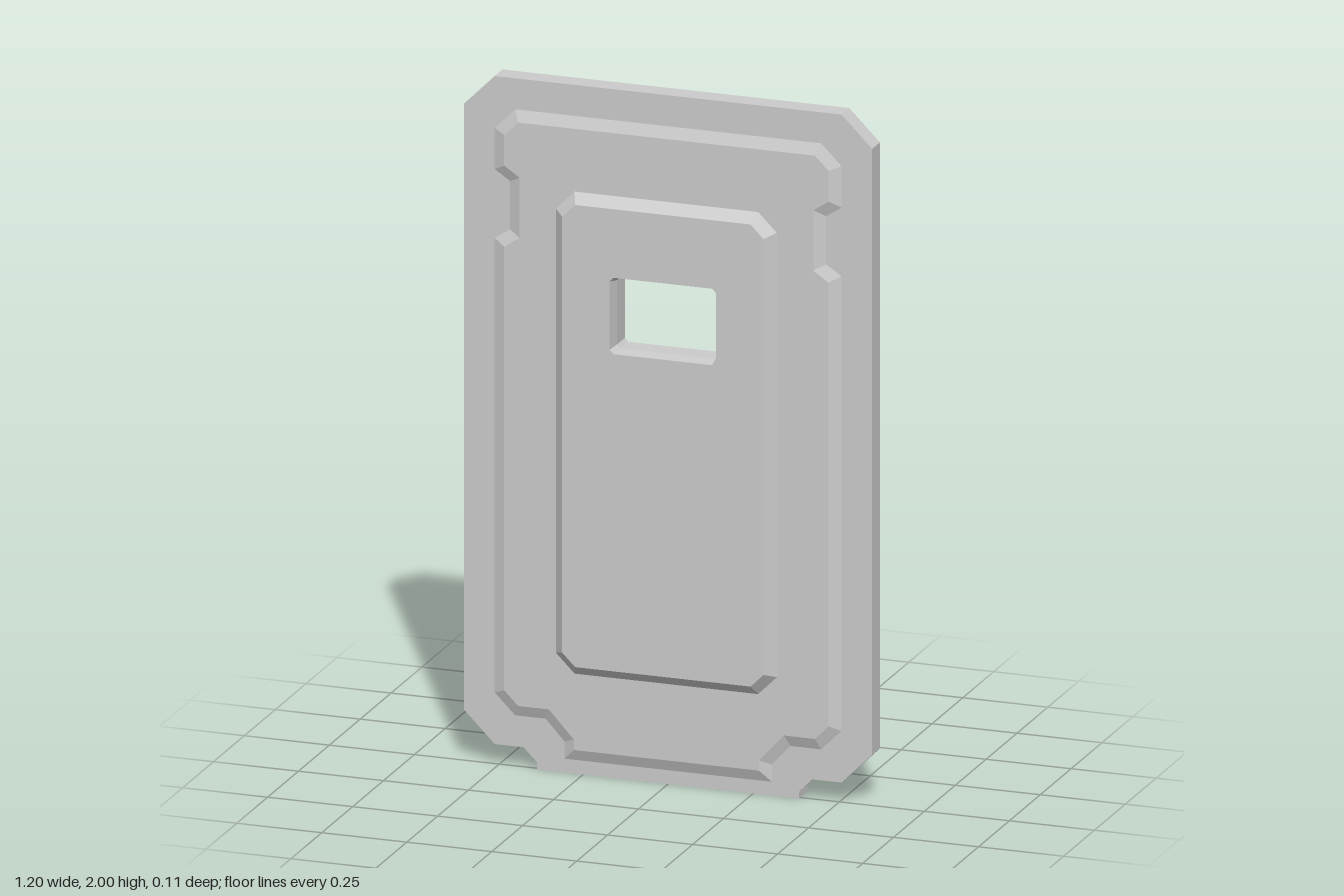
import * as THREE from 'three';

const material = new THREE.MeshStandardMaterial({
  color: 0xcccccc, flatShading: true, side: THREE.DoubleSide,
});

// Closed counter-clockwise outline from its right half, listed bottom to top.
function mirrored(half) {
  return [...half, ...half.slice().reverse().map(([x, y]) => [-x, y])];
}

// Rectangle with cut corners, centred on x = 0.
function cutRect(w, y0, y1, c) {
  return mirrored([[w - c, y0], [w, y0 + c], [w, y1 - c], [w - c, y1]]);
}

// Moves every edge of an outline inwards by d, with mitred corners.
function inset(loop, d) {
  const n = loop.length;
  const normal = (a, b) => {
    const l = Math.hypot(b[0] - a[0], b[1] - a[1]);
    return [-(b[1] - a[1]) / l, (b[0] - a[0]) / l];
  };
  return loop.map((p, i) => {
    const u = normal(loop[(i + n - 1) % n], p);
    const v = normal(p, loop[(i + 1) % n]);
    const k = d / (1 + u[0] * v[0] + u[1] * v[1]);
    return [p[0] + (u[0] + v[0]) * k, p[1] + (u[1] + v[1]) * k];
  });
}

function createModel() {
  const group = new THREE.Group();
  const toVectors = (loop) => loop.map(([x, y]) => new THREE.Vector2(x, y));

  function add(name, geometry) {
    const mesh = new THREE.Mesh(geometry, material);
    mesh.name = name;
    group.add(mesh);
  }

  // Flat sheet at depth z, with an optional opening.
  function sheet(name, loop, hole, z) {
    const shape = new THREE.Shape(toVectors(loop));
    if (hole) shape.holes.push(new THREE.Path(toVectors(hole)));
    add(name, new THREE.ShapeGeometry(shape).translate(0, 0, z));
  }

  // Band of faces joining two outlines with equal point counts.
  function band(name, a, za, b, zb) {
    const pos = [];
    a.forEach((p, i) => {
      const j = (i + 1) % a.length;
      const p0 = [...p, za], p1 = [...a[j], za];
      const q0 = [...b[i], zb], q1 = [...b[j], zb];
      pos.push(...p0, ...p1, ...q1, ...p0, ...q1, ...q0);
    });
    const geometry = new THREE.BufferGeometry();
    geometry.setAttribute('position', new THREE.Float32BufferAttribute(pos, 3));
    geometry.computeVertexNormals();
    add(name, geometry);
  }

  // Depths of the pressed levels
  const BACK = -0.053, BASE = 0.01, STEP = 0.024, FRONT = 0.053;

  // Outlines
  const edge = mirrored([
    [0.385, 0], [0.385, 0.02], [0.425, 0.06], [0.51, 0.06],
    [0.6, 0.15], [0.6, 1.91], [0.51, 2],
  ]);
  const stepFoot = mirrored([
    [0.305, 0.04], [0.305, 0.09], [0.36, 0.15], [0.45, 0.15], [0.51, 0.21],
    [0.51, 1.53], [0.465, 1.56], [0.465, 1.7], [0.51, 1.73],
    [0.51, 1.85], [0.45, 1.91],
  ]);
  const stepTop = inset(stepFoot, 0.033);
  const panelFoot = cutRect(0.325, 0.295, 1.695, 0.055);
  const panelTop = inset(panelFoot, 0.029);
  const windowFront = cutRect(0.157, 1.245, 1.467, 0.012);
  const windowInner = cutRect(0.15, 1.25, 1.457, 0.01);

  // Outer flange, open at the back
  band('rim', edge, BACK, edge, BASE);
  sheet('basePlate', edge, stepFoot, BASE);

  // Shallow notched step
  band('stepBevel', stepFoot, BASE, stepTop, STEP);
  sheet('stepPlate', stepTop, panelFoot, STEP);

  // Raised centre panel
  band('panelBevel', panelFoot, STEP, panelTop, FRONT);
  sheet('centrePanel', panelTop, windowFront, FRONT);

  // Window sleeve running to the back
  band('windowBevel', windowFront, FRONT, windowInner, 0.01);
  band('windowSleeve', windowInner, 0.01, windowInner, BACK);

  return group;
}

export { createModel };
